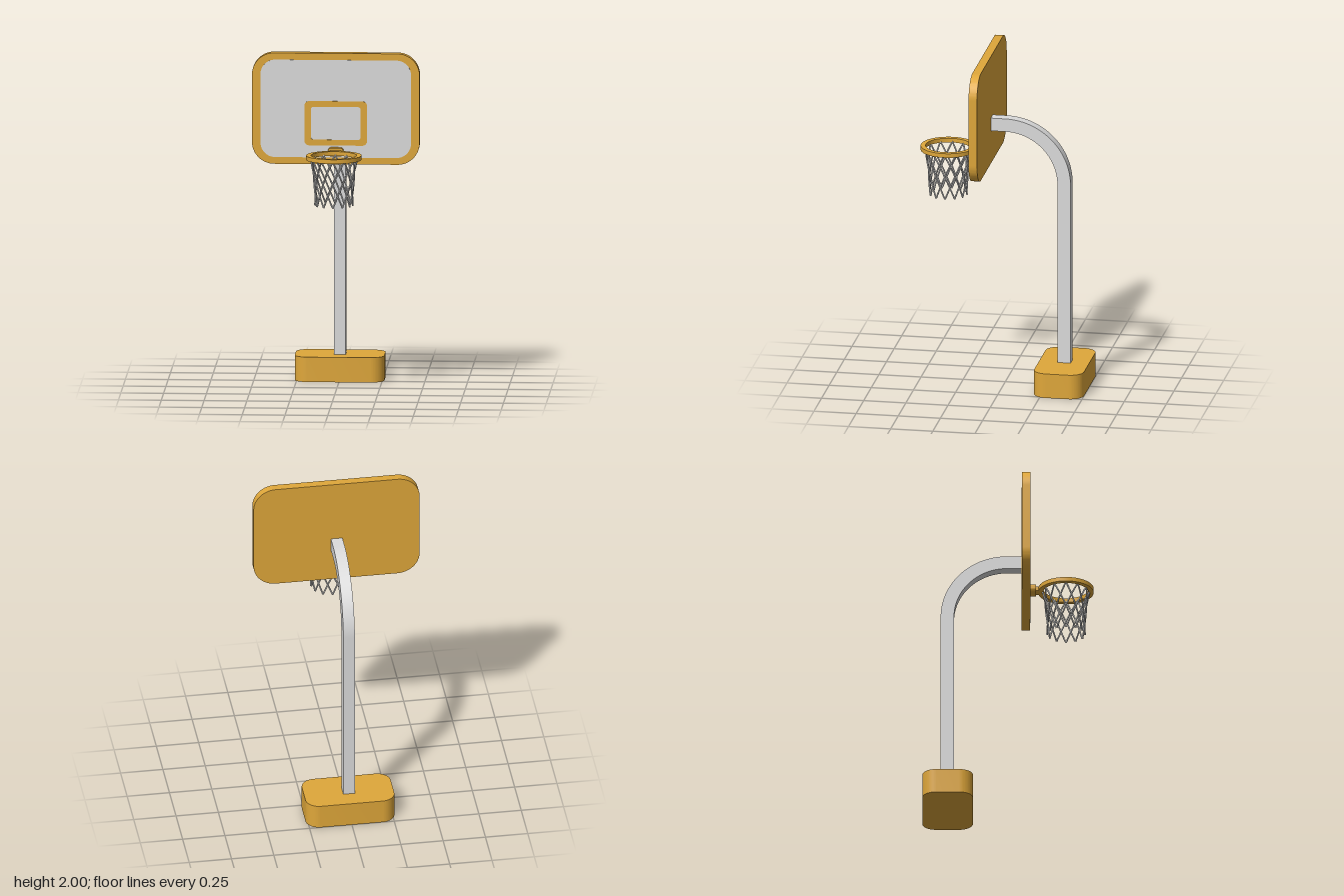
import * as THREE from 'three';
import { toCreasedNormals } from 'three/addons/utils/BufferGeometryUtils.js';

const orange = new THREE.MeshStandardMaterial({ name: 'orange', color: 0xdfa73a });
const grey = new THREE.MeshStandardMaterial({ name: 'light grey', color: 0xdcdcdc });

// Rounded rectangle centred on (0, cy), as a Shape or a Path for holes
function roundedRect(w, h, r, cy = 0, Type = THREE.Shape) {
  const s = new Type(), x = w / 2, y = h / 2;
  s.absarc(x - r, cy + y - r, r, 0, Math.PI / 2);
  s.absarc(-x + r, cy + y - r, r, Math.PI / 2, Math.PI);
  s.absarc(-x + r, cy - y + r, r, Math.PI, Math.PI * 1.5);
  s.absarc(x - r, cy - y + r, r, Math.PI * 1.5, Math.PI * 2);
  s.closePath();
  return s;
}

function extrude(shape, depth, curveSegments = 12) {
  const g = new THREE.ExtrudeGeometry(shape, { depth, bevelEnabled: false, curveSegments });
  return toCreasedNormals(g, 0.6);
}

export function createModel() {
  const model = new THREE.Group();
  model.name = 'basketballHoop';
  const add = (name, geometry, material, x = 0, y = 0, z = 0, parent = model) => {
    const mesh = new THREE.Mesh(geometry, material);
    mesh.name = name;
    mesh.position.set(x, y, z);
    parent.add(mesh);
    return mesh;
  };

  // Heavy foot
  const base = extrude(roundedRect(0.524, 0.295, 0.08), 0.147);
  base.rotateX(-Math.PI / 2);
  add('base', base, orange, 0, 0, -0.3525);

  // Square pole with a quarter-circle bend, drawn in profile (z, y)
  const bendZ = -0.005, bendY = 1.235, outer = 0.388, inner = 0.31;
  const profile = new THREE.Shape();
  profile.moveTo(bendZ - outer, 0.14);
  profile.lineTo(bendZ - inner, 0.14);
  profile.absarc(bendZ, bendY, inner, Math.PI, Math.PI / 2, true);
  profile.lineTo(0.085, bendY + inner);
  profile.lineTo(0.085, bendY + outer);
  profile.absarc(bendZ, bendY, outer, Math.PI / 2, Math.PI, false);
  profile.closePath();
  const pole = extrude(profile, 0.068, 24);
  pole.rotateY(-Math.PI / 2);
  add('pole', pole, grey, 0.034);

  // Backboard with its grey field and target frame
  const boardY = 1.672;
  add('backboard', extrude(roundedRect(0.98, 0.656, 0.13), 0.05), orange, 0, boardY, 0.08);
  add('backboardPanel', extrude(roundedRect(0.88, 0.576, 0.085), 0.002), grey, 0, boardY, 0.129);
  const frame = roundedRect(0.368, 0.262, 0.03);
  frame.holes.push(roundedRect(0.29, 0.194, 0.015, 0, THREE.Path));
  add('targetFrame', extrude(frame, 0.002), orange, 0, 1.586, 0.1305);

  // Rim bracket and neck
  add('rimBracket', extrude(roundedRect(0.092, 0.05, 0.02), 0.033), orange, 0, 1.42, 0.129);
  add('rimNeck', new THREE.BoxGeometry(0.062, 0.025, 0.05), orange, 0, 1.418, 0.18);

  // Flat ring
  const hoop = new THREE.Group();
  hoop.name = 'hoop';
  hoop.position.z = 0.338;
  model.add(hoop);
  const ring = new THREE.Shape().absarc(0, 0, 0.162, 0, Math.PI * 2);
  ring.holes.push(new THREE.Path().absarc(0, 0, 0.133, 0, Math.PI * 2));
  const rim = extrude(ring, 0.025, 48);
  rim.rotateX(-Math.PI / 2);
  add('rim', rim, orange, 0, 1.406, 0, hoop);

  // Net: strands spiralling both ways, narrowing and then flaring slightly
  const net = new THREE.Group();
  net.name = 'net';
  hoop.add(net);
  const strands = 12, steps = 8, twist = Math.PI / 3;
  for (const dir of [1, -1]) {
    for (let i = 0; i < strands; i++) {
      const points = [];
      for (let k = 0; k <= steps; k++) {
        const t = k / steps;
        const a = (i / strands) * Math.PI * 2 + dir * twist * t;
        const r = 0.136 - 0.056 * t + 0.03 * t * t + dir * 0.001;
        points.push(new THREE.Vector3(Math.sin(a) * r, 1.412 - 0.278 * t, Math.cos(a) * r));
      }
      const curve = new THREE.CatmullRomCurve3(points);
      add('netStrand', new THREE.TubeGeometry(curve, 16, 0.005, 5), grey, 0, 0, 0, net);
    }
  }
  return model;
}
